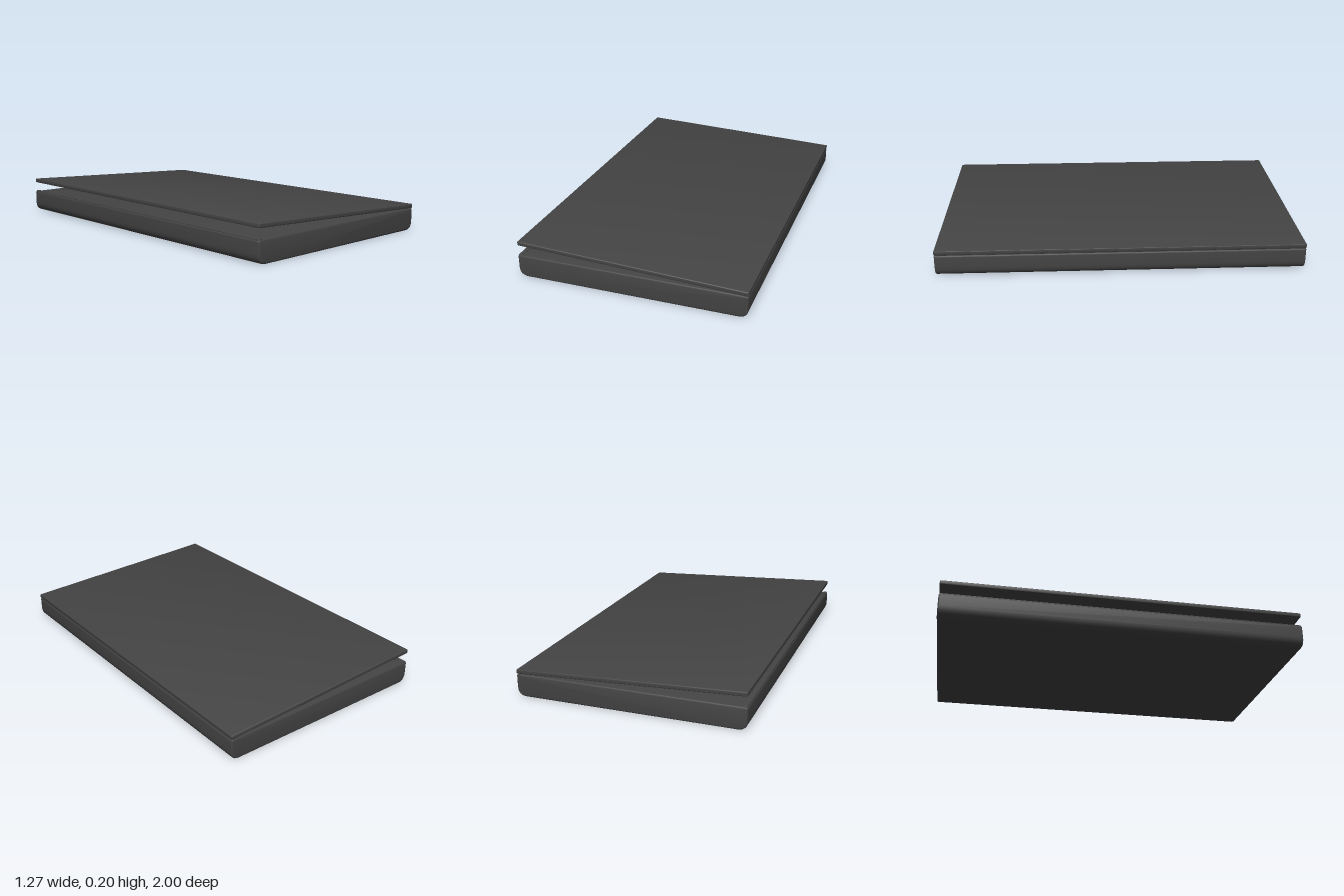
import * as THREE from 'three';
import { toCreasedNormals } from 'three/addons/utils/BufferGeometryUtils.js';

const W = 1.235, L = 1.975;      // width (x) and length (z) of the closed case
const HALF = W / 2;

// Extrude a cross-section along z, centred, with small rounded ends
function extrudeZ(shape, length, bevel) {
  const geo = new THREE.ExtrudeGeometry(shape, {
    depth: length - 2 * bevel, curveSegments: 6, bevelEnabled: true,
    bevelThickness: bevel, bevelSize: bevel, bevelOffset: -bevel, bevelSegments: 3,
  });
  geo.translate(0, 0, -length / 2 + bevel);
  return toCreasedNormals(geo, 0.6);
}

// Cross-section with separate bottom and top corner radii
function section(x0, y0, x1, y1, rBottom, rTop) {
  const s = new THREE.Shape();
  s.moveTo(x0 + rBottom, y0);
  s.lineTo(x1 - rBottom, y0);
  s.quadraticCurveTo(x1, y0, x1, y0 + rBottom);
  s.lineTo(x1, y1 - rTop);
  s.quadraticCurveTo(x1, y1, x1 - rTop, y1);
  s.lineTo(x0 + rTop, y1);
  s.quadraticCurveTo(x0, y1, x0, y1 - rTop);
  s.lineTo(x0, y0 + rBottom);
  s.quadraticCurveTo(x0, y0, x0 + rBottom, y0);
  return s;
}

export function createModel() {
  const model = new THREE.Group();
  model.name = 'hingedCase';
  const material = new THREE.MeshStandardMaterial({ color: 0x444444 });
  const add = (name, geo, parent = model) => {
    const mesh = new THREE.Mesh(geo, material);
    mesh.name = name;
    parent.add(mesh);
    return mesh;
  };

  // Solid lower case with rounded long bottom edges
  add('base', extrudeZ(section(-HALF, 0, HALF, 0.12, 0.05, 0.01), L, 0.008));

  // Low rims along both long sides
  for (const side of [-1, 1]) {
    const rim = add(side < 0 ? 'rightRim' : 'leftRim',
      extrudeZ(section(-0.011, 0, 0.011, 0.013, 0.002, 0.004), L - 0.01, 0.002));
    rim.position.set(side * (HALF - 0.015), 0.112, 0);
  }

  // Hinge rod between base and lid
  const rod = new THREE.CylinderGeometry(0.007, 0.007, L - 0.04, 12);
  rod.rotateX(Math.PI / 2);
  add('hinge', rod).position.set(HALF - 0.015, 0.124, 0);

  // Thin lid, swung slightly open about its hinge on the +x side
  const lid = new THREE.Group();
  lid.name = 'lid';
  lid.position.set(HALF, 0.122, 0);
  lid.rotation.z = -0.0445;
  add('lidPanel', extrudeZ(section(-W, 0, 0, 0.023, 0.005, 0.005), L, 0.005), lid);
  model.add(lid);

  // The whole case sits slightly turned
  model.rotation.y = -0.018;
  const root = new THREE.Group();
  root.add(model);
  return root;
}
